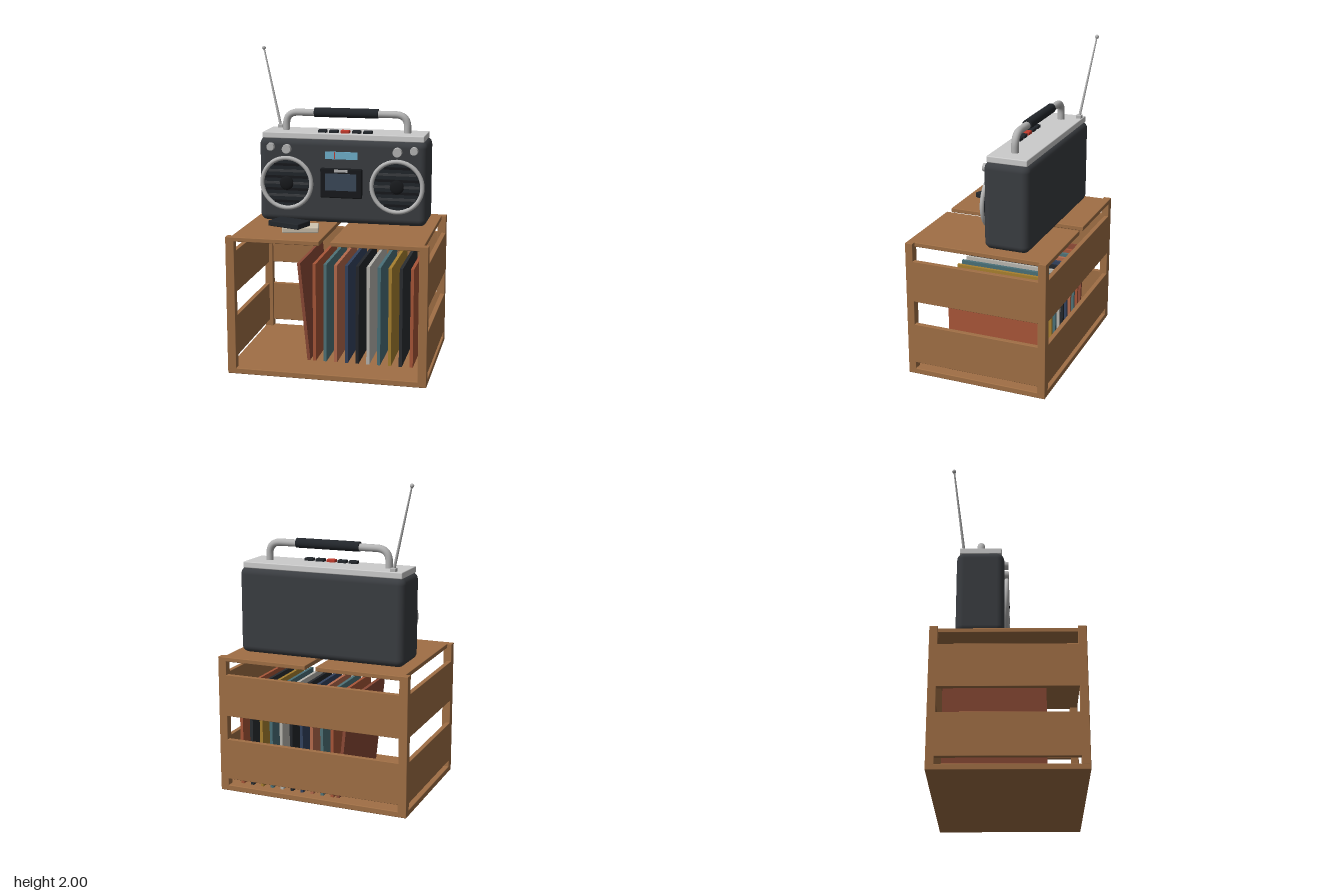
import * as THREE from 'three';
import { RoundedBoxGeometry } from 'three/addons/geometries/RoundedBoxGeometry.js';

const mat = (color) => new THREE.MeshStandardMaterial({ color });
const wood = mat(0xa06f45), shell = mat(0x3a3d41), dark = mat(0x22262b), black = mat(0x17191c),
  silver = mat(0xb4b4b4), plate = mat(0xbdbdbd), blue = mat(0x6fb0cc), red = mat(0xc0392b),
  glass = mat(0x3b4858), cream = mat(0xcfc4b0);

function add(parent, name, geometry, material, x = 0, y = 0, z = 0) {
  const mesh = new THREE.Mesh(geometry, material);
  mesh.name = name;
  mesh.position.set(x, y, z);
  parent.add(mesh);
  return mesh;
}

// box given by its lower and upper limits on each axis
function span(parent, name, material, x0, x1, y0, y1, z0, z1, radius = 0) {
  const s = [x1 - x0, y1 - y0, z1 - z0];
  const g = radius ? new RoundedBoxGeometry(...s, 3, radius) : new THREE.BoxGeometry(...s);
  return add(parent, name, g, material, (x0 + x1) / 2, (y0 + y1) / 2, (z0 + z1) / 2);
}

const disc = (r0, r1, depth, n = 40) => new THREE.CylinderGeometry(r1, r0, depth, n).rotateX(Math.PI / 2);

function makeCrate() {
  const crate = new THREE.Group();
  crate.name = 'crate';
  const W = 0.63, D = 0.46, H = 0.885, T = 0.03;
  span(crate, 'floor', wood, -W, W, 0, 0.037, -D, D, 0.005);
  for (const s of [-1, 1]) {
    const sx = (name, a, b, y0, y1, z0, z1) =>
      span(crate, name, wood, Math.min(s * a, s * b), Math.max(s * a, s * b), y0, y1, z0, z1, 0.003);
    sx('frontPost', W - 0.055, W, 0.03, H, D - 0.05, D);
    sx('backPost', W - 0.055, W, 0.03, H, -D, -D + 0.05);
    for (const [y0, y1] of [[0.08, 0.345], [0.5, 0.77]]) sx('sideSlat', W - T, W, y0, y1, -D + 0.01, D - 0.01);
  }
  for (const [y0, y1] of [[0.08, 0.345], [0.5, 0.77]])
    span(crate, 'backSlat', wood, -W + 0.01, W - 0.01, y0, y1, -D, -D + T, 0.003);
  // two top boards with a gap between them
  span(crate, 'leftTopBoard', wood, 0.033, W - T, 0.857, H, -D, D, 0.004);
  span(crate, 'rightTopBoard', wood, -W + T, -0.037, 0.857, H, -D, D, 0.004);
  return crate;
}

function makeRecords() {
  const records = new THREE.Group();
  records.name = 'records';
  const colors = [0xa85638, 0x4f7378, 0xb56a4c, 0x34435f, 0x24272c, 0xb9b7b0,
    0x4a7078, 0xa8802f, 0x2a2d31, 0xa85638];
  const cover = new THREE.BoxGeometry(0.02, 0.64, 0.635);
  colors.forEach((c, i) => add(records, 'record', cover, mat(c), -0.123 + i * 0.0695, 0.36, -0.087));
  add(records, 'leaningRecord', cover, mat(0x8c4a36), -0.192, 0.36, -0.087).rotation.z = 0.1;
  return records;
}

function makeSpeaker(x) {
  const speaker = new THREE.Group();
  speaker.name = 'speaker';
  speaker.position.set(x, 1.146, -0.02);
  add(speaker, 'cone', disc(0.165, 0.165, 0.016), dark);
  add(speaker, 'ring', new THREE.TorusGeometry(0.163, 0.014, 12, 48), silver, 0, 0, 0.01);
  // horizontal grille bars cut to the circle
  for (let i = -3; i <= 3; i++) {
    const y = i * 0.04, w = 2 * Math.sqrt(0.145 ** 2 - y * y);
    add(speaker, 'grilleBar', new THREE.BoxGeometry(w, 0.016, 0.012), i % 2 ? black : shell, 0, y, 0.009);
  }
  add(speaker, 'dustCap', new THREE.SphereGeometry(0.046, 24, 12).scale(1, 1, 0.35), black, 0, 0, 0.012);
  return speaker;
}

function makeHandle() {
  const handle = new THREE.Group();
  handle.name = 'handle';
  const v = (x, y) => new THREE.Vector3(x, y, -0.172);
  const path = new THREE.CurvePath();
  const X = 0.4, Y = 1.586, R = 0.08;
  path.add(new THREE.LineCurve3(v(-X, 1.46), v(-X, Y - R)));
  path.add(new THREE.QuadraticBezierCurve3(v(-X, Y - R), v(-X, Y), v(-X + R, Y)));
  path.add(new THREE.LineCurve3(v(-X + R, Y), v(X - R, Y)));
  path.add(new THREE.QuadraticBezierCurve3(v(X - R, Y), v(X, Y), v(X, Y - R)));
  path.add(new THREE.LineCurve3(v(X, Y - R), v(X, 1.46)));
  add(handle, 'handleTube', new THREE.TubeGeometry(path, 100, 0.023, 14), silver);
  add(handle, 'grip', new THREE.CylinderGeometry(0.031, 0.031, 0.42, 20).rotateZ(Math.PI / 2), dark, 0, 1.589, -0.172);
  return handle;
}

function makeAntenna() {
  const antenna = new THREE.Group();
  antenna.name = 'antenna';
  const foot = new THREE.Vector3(-0.466, 1.475, -0.274), tip = new THREE.Vector3(-0.595, 1.987, -0.34);
  span(antenna, 'antennaBase', silver, -0.484, -0.448, 1.465, 1.492, -0.292, -0.256, 0.005);
  const dir = tip.clone().sub(foot);
  const mid = foot.clone().add(tip).multiplyScalar(0.5);
  const rod = add(antenna, 'antennaRod', new THREE.CylinderGeometry(0.005, 0.009, dir.length(), 10), silver, mid.x, mid.y, mid.z);
  rod.quaternion.setFromUnitVectors(new THREE.Vector3(0, 1, 0), dir.normalize());
  add(antenna, 'antennaTip', new THREE.SphereGeometry(0.013, 14, 10), silver, tip.x, tip.y, tip.z);
  return antenna;
}

function makeRadio() {
  const radio = new THREE.Group();
  radio.name = 'radio';
  span(radio, 'body', shell, -0.547, 0.547, 0.888, 1.437, -0.315, -0.024, 0.045);
  span(radio, 'topPlate', plate, -0.528, 0.526, 1.43, 1.47, -0.298, -0.04, 0.006);
  radio.add(makeSpeaker(-0.36), makeSpeaker(0.36), makeHandle(), makeAntenna());
  // control knobs
  for (const s of [-1, 1]) {
    add(radio, 'outerKnob', disc(0.027, 0.024, 0.032, 24), silver, s * 0.466, 1.378, -0.014);
    add(radio, 'innerKnob', disc(0.031, 0.028, 0.032, 24), silver, s * 0.36, 1.367, -0.014);
  }
  // tuning display
  span(radio, 'display', blue, -0.108, 0.104, 1.31, 1.358, -0.03, -0.016);
  span(radio, 'tuningNeedle', red, -0.047, -0.042, 1.312, 1.356, -0.02, -0.013);
  // tape deck
  span(radio, 'tapeDoor', black, -0.137, 0.135, 1.06, 1.252, -0.03, -0.002, 0.008);
  span(radio, 'tapeWindow', glass, -0.103, 0.1, 1.11, 1.22, -0.01, 0.002);
  span(radio, 'tapeLatch', silver, -0.043, 0.043, 1.23, 1.246, -0.01, 0.006);
  // push buttons
  for (let i = 0; i < 5; i++) {
    const x = -0.14 + i * 0.0742;
    span(radio, 'button', i === 2 ? red : dark, x - 0.029, x + 0.029, 1.46, 1.488, -0.118, -0.077, 0.006);
  }
  return radio;
}

export function createModel() {
  const model = new THREE.Group();
  model.name = 'radioOnCrate';
  model.add(makeCrate(), makeRecords(), makeRadio());
  // two loose tape cases
  const tape = new RoundedBoxGeometry(0.227, 0.035, 0.138, 2, 0.006);
  add(model, 'lowerTape', tape, cream, -0.213, 0.905, 0.211).rotation.y = 0.215;
  add(model, 'upperTape', tape, dark, -0.276, 0.942, 0.25).rotation.y = -0.35;
  return model;
}
